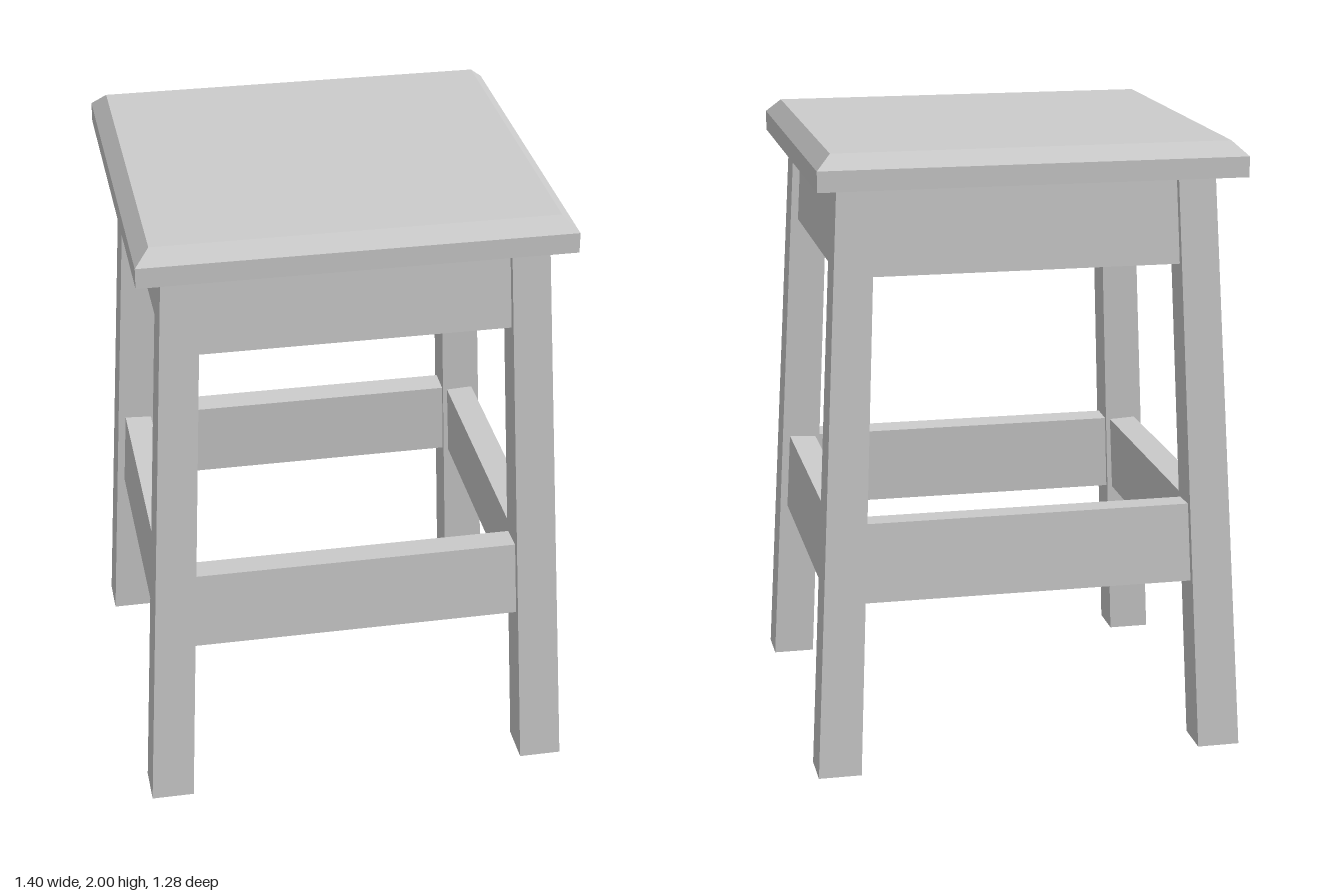
import * as THREE from 'three';

const material = new THREE.MeshStandardMaterial({ color: 0xcccccc, flatShading: true });

// Splayed leg faces as a function of height: outer and inner distance along x and z
const outerX = (y) => 0.698 - 0.0529 * y;
const innerX = (y) => 0.56 - 0.0431 * y;
const outerZ = (y) => 0.641 - 0.0444 * y;
const innerZ = (y) => 0.504 - 0.0354 * y;

// Six-sided solid: rule(sx, sy, sz) places each corner of a box, with signs of -1 or 1
function solid(name, rule) {
  const geometry = new THREE.BoxGeometry(2, 2, 2).toNonIndexed();
  const p = geometry.attributes.position;
  for (let i = 0; i < p.count; i++) {
    p.setXYZ(i, ...rule(Math.sign(p.getX(i)), Math.sign(p.getY(i)), Math.sign(p.getZ(i))));
  }
  geometry.computeVertexNormals();
  const mesh = new THREE.Mesh(geometry, material);
  mesh.name = name;
  return mesh;
}

// Tapered leg leaning in towards the seat
function leg(name, lx, lz) {
  return solid(name, (sx, sy, sz) => {
    const y = sy < 0 ? 0 : 1.9;
    return [
      lx * (sx === lx ? outerX(y) : innerX(y)),
      y,
      lz * (sz === lz ? outerZ(y) : innerZ(y)),
    ];
  });
}

// Board tilted with the legs, its ends let into them
function board(name, y0, y1, outer, inner, angle) {
  const setback = 0.025, thickness = 0.09;
  const slope = outer(0) - outer(1);
  const mesh = solid(name, (sx, sy, sz) => {
    const y = sy < 0 ? y0 : y1;
    const depth = sz < 0 ? thickness : 0;
    return [sx * (inner(y) + 0.03), y - depth * slope, outer(y) - setback - depth];
  });
  mesh.rotation.y = angle;
  return mesh;
}

export function createModel() {
  const model = new THREE.Group();
  model.name = 'stool';

  // Seat: square slab with a chamfered upper edge
  const seat = new THREE.Group();
  seat.name = 'seat';
  seat.position.set(-0.006, 0, -0.005);
  seat.add(solid('seatSlab', (sx, sy, sz) => [sx * 0.674, sy < 0 ? 1.89 : 1.955, sz * 0.638]));
  seat.add(solid('seatBevel', (sx, sy, sz) =>
    sy < 0 ? [sx * 0.674, 1.955, sz * 0.638] : [sx * 0.627, 2, sz * 0.592]));
  model.add(seat);

  // Legs
  for (const [sideName, lx] of [['Left', 1], ['Right', -1]]) {
    model.add(leg('front' + sideName + 'Leg', lx, 1));
    model.add(leg('back' + sideName + 'Leg', lx, -1));
  }

  // Aprons under the seat and stretchers lower down, on all four sides
  ['front', 'left', 'back', 'right'].forEach((side, i) => {
    const across = i % 2 === 0;
    const outer = across ? outerZ : outerX;
    const inner = across ? innerX : innerZ;
    const angle = (i * Math.PI) / 2;
    model.add(board(side + 'Apron', 1.605, 1.9, outer, inner, angle));
    model.add(board(side + 'Stretcher', 0.563, 0.822, outer, inner, angle));
  });

  return model;
}
